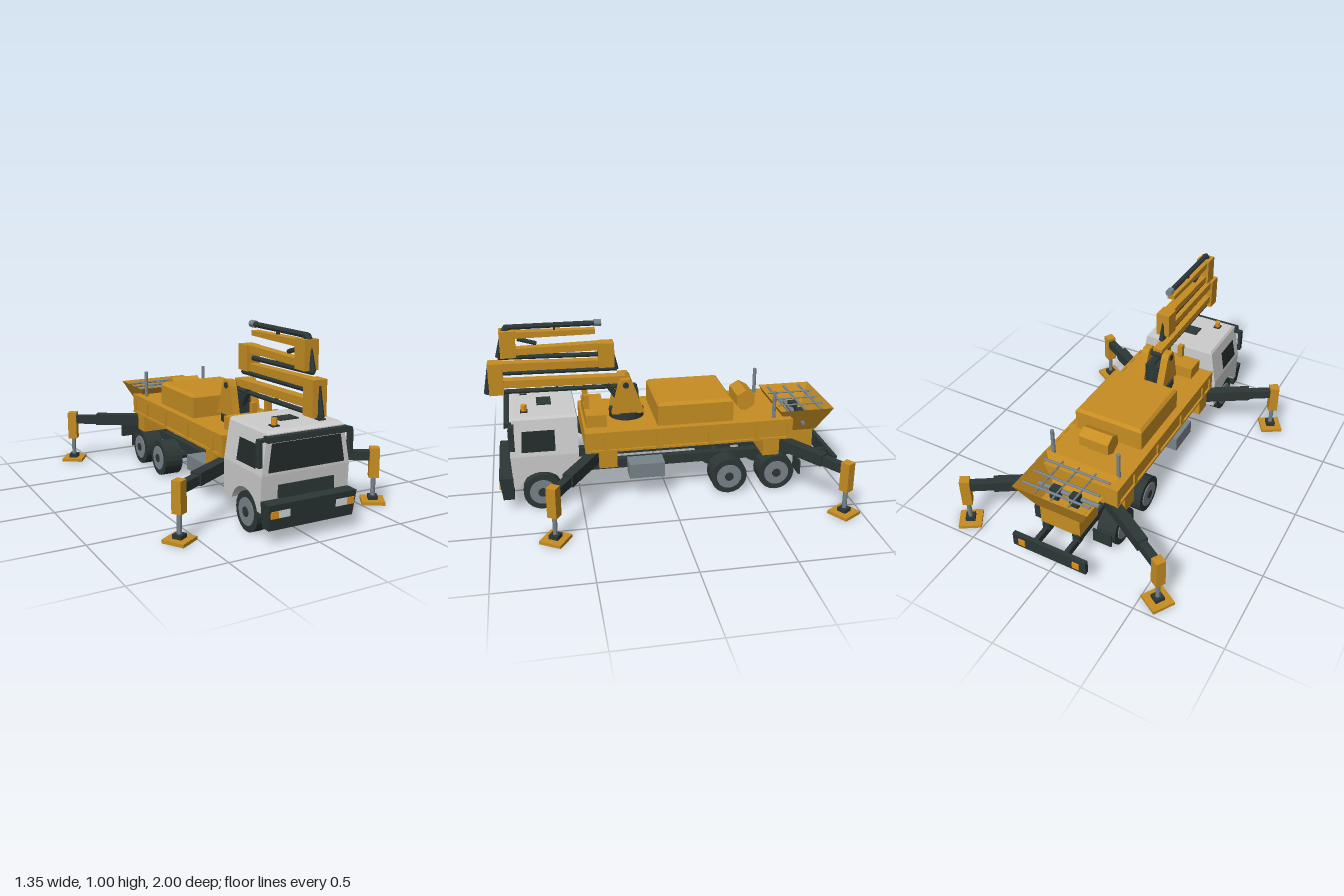
import * as THREE from 'three';

const mat = (name, color, side = THREE.FrontSide) => {
  const m = new THREE.MeshStandardMaterial({ color, flatShading: true, side });
  m.name = name;
  return m;
};

export function createModel() {
  const yellow = mat('machineYellow', 0xc68d22, THREE.DoubleSide);
  const white = mat('cabWhite', 0xcdcdcd);
  const dark = mat('darkSteel', 0x2c3736);
  const glass = mat('darkGlass', 0x222b2b, THREE.DoubleSide);
  const grey = mat('greySteel', 0x78848a);
  const lamp = mat('amberLamp', 0xe0921a);
  const headlight = mat('headlightWhite', 0xd4d8d8);

  const root = new THREE.Group();
  root.name = 'concretePumpTruck';
  const add = (name, geo, m, parent = root) => {
    const mesh = new THREE.Mesh(geo, m);
    mesh.name = name;
    parent.add(mesh);
    return mesh;
  };
  // box given by its low and high corners
  const box = (name, m, [x0, x1], [y0, y1], [z0, z1], parent = root) => {
    const g = new THREE.BoxGeometry(x1 - x0, y1 - y0, z1 - z0);
    g.translate((x0 + x1) / 2, (y0 + y1) / 2, (z0 + z1) / 2);
    return add(name, g, m, parent);
  };
  // box between two points, optionally thinner at the far end
  const bar = (name, m, p, q, w, h, end = 1) => {
    const a = new THREE.Vector3(...p), b = new THREE.Vector3(...q);
    const g = new THREE.BoxGeometry(w, h, a.distanceTo(b));
    const pos = g.attributes.position;
    for (let i = 0; i < pos.count; i++)
      if (pos.getZ(i) > 0) pos.setXY(i, pos.getX(i) * end, pos.getY(i) * end);
    const mesh = add(name, g, m);
    mesh.position.copy(a).add(b).multiplyScalar(0.5);
    mesh.lookAt(b);
    return mesh;
  };
  const rod = (name, m, p, q, r, sides = 8, rEnd = r) => {
    const a = new THREE.Vector3(...p), b = new THREE.Vector3(...q);
    const g = new THREE.CylinderGeometry(rEnd, r, a.distanceTo(b), sides).rotateX(Math.PI / 2);
    const mesh = add(name, g, m);
    mesh.position.copy(a).add(b).multiplyScalar(0.5);
    mesh.lookAt(b);
    return mesh;
  };
  // side profile of [z, y] points extruded across x
  const profile = (name, m, shape, x0, x1) => {
    const s = Array.isArray(shape) ? new THREE.Shape(shape.map(p => new THREE.Vector2(...p))) : shape;
    const g = new THREE.ExtrudeGeometry(s, { depth: x1 - x0, bevelEnabled: false, curveSegments: 8 });
    g.rotateY(-Math.PI / 2).translate(x1, 0, 0);
    return add(name, g, m);
  };
  const quad = (name, m, pts) => {
    const g = new THREE.BufferGeometry();
    g.setAttribute('position', new THREE.Float32BufferAttribute(pts.flat(), 3));
    g.setIndex([0, 1, 2, 0, 2, 3]);
    g.computeVertexNormals();
    return add(name, g, m);
  };
  // box whose top and bottom have their own half width and z range
  const frustum = (name, m, y0, y1, [bw, bz0, bz1], [tw, tz0, tz1]) => {
    const g = new THREE.BoxGeometry(2, 2, 2), pos = g.attributes.position;
    for (let i = 0; i < pos.count; i++) {
      const up = pos.getY(i) > 0, back = pos.getZ(i) < 0;
      pos.setXYZ(i, pos.getX(i) * (up ? tw : bw), up ? y1 : y0,
        up ? (back ? tz0 : tz1) : (back ? bz0 : bz1));
    }
    g.computeVertexNormals();
    return add(name, g, m);
  };

  // cab with front wheel arch
  const lower = new THREE.Shape();
  lower.moveTo(0.51, 0.147);
  lower.lineTo(0.592, 0.147);
  lower.absarc(0.715, 0.105, 0.13, Math.PI - 0.33, 0.33, true);
  lower.lineTo(0.868, 0.147);
  lower.lineTo(0.878, 0.33);
  lower.lineTo(0.51, 0.33);
  profile('cabLower', white, lower, -0.255, 0.255);
  frustum('cabUpper', white, 0.33, 0.53, [0.255, 0.51, 0.878], [0.222, 0.51, 0.87]);
  frustum('cabRoof', white, 0.53, 0.545, [0.222, 0.51, 0.87], [0.212, 0.515, 0.85]);
  quad('windscreen', glass, [[-0.222, 0.345, 0.882], [0.222, 0.345, 0.882], [0.2, 0.486, 0.876], [-0.2, 0.486, 0.876]]);
  box('grille', dark, [-0.162, 0.162], [0.212, 0.278], [0.87, 0.884]);
  box('sunVisor', dark, [-0.236, 0.236], [0.496, 0.525], [0.86, 0.9]);
  frustum('bumper', dark, 0.075, 0.208, [0.245, 0.87, 0.93], [0.256, 0.87, 0.946]);
  box('roofHatch', dark, [-0.055, 0.055], [0.54, 0.551], [0.64, 0.72]);

  for (const s of [-1, 1]) {
    const span = (a, b) => (s > 0 ? [a, b] : [-b, -a]);
    quad('sideWindow', glass, [[s * 0.255, 0.355, 0.635], [s * 0.255, 0.355, 0.818], [s * 0.236, 0.47, 0.81], [s * 0.236, 0.47, 0.635]]);
    box('mirror', dark, span(0.255, 0.274), [0.375, 0.5], [0.85, 0.882]);
    box('mirrorArm', dark, span(0.215, 0.272), [0.498, 0.512], [0.848, 0.878]);
    box('headlight', headlight, span(0.135, 0.2), [0.139, 0.175], [0.935, 0.946]);
    box('indicator', lamp, span(0.2, 0.242), [0.139, 0.175], [0.935, 0.947]);
    box('beaconBase', dark, span(0.115, 0.155), [0.54, 0.552], [0.77, 0.81]);
    rod('beacon', lamp, [s * 0.135, 0.55, 0.79], [s * 0.135, 0.585, 0.79], 0.016);

    // chassis
    box('chassisRail', dark, span(0.07, 0.115), [0.152, 0.205], [-0.87, 0.6]);
    box('bumperBracket', dark, span(0.08, 0.105), [0.125, 0.165], [-0.98, -0.82]);
    box('sideTank', grey, span(0.12, 0.23), [0.135, 0.22], [0.03, 0.23]);
    box('mudFlap', dark, span(0.13, 0.24), [0.08, 0.165], [-0.765, -0.755]);
    box('tailLamp', lamp, span(0.145, 0.185), [0.11, 0.148], [-1, -0.99]);

    // wheels
    for (const [z, inner] of [[0.715, 0.18], [-0.34, 0.13], [-0.62, 0.13]]) {
      rod('tyre', dark, [s * inner, 0.105, z], [s * 0.24, 0.105, z], 0.105, 20);
      rod('rim', grey, [s * 0.2, 0.105, z], [s * 0.245, 0.105, z], 0.072, 20);
      rod('hub', dark, [s * 0.2, 0.105, z], [s * 0.25, 0.105, z], 0.026, 10);
      if (s > 0) rod('axle', dark, [-0.2, 0.105, z], [0.2, 0.105, z], 0.025);
    }

    // deck side frame
    for (const [y0, y1] of [[0.318, 0.33], [0.412, 0.437]])
      box('deckSideRail', yellow, span(0.235, 0.25), [y0, y1], [-0.7, 0.475]);
    for (const z of [0.46, 0.355, 0.06, -0.23, -0.5, -0.685])
      box('deckRib', yellow, span(0.235, 0.248), [0.325, 0.42], [z - 0.015, z + 0.015]);
    rod('deckPost', grey, [s * 0.2, 0.43, -0.6], [s * 0.2, 0.59, -0.6], 0.011);

    // turret cheeks
    profile('turretCheek', yellow, [[0.12, 0.47], [0.305, 0.47], [0.265, 0.64], [0.25, 0.67], [0.2, 0.67], [0.185, 0.65]],
      ...span(0.042, 0.085));
    box('boomRest', yellow, span(0.03, 0.06), [0.5, 0.585], [0.43, 0.46]);

    // outriggers
    for (const [z, dir] of [[0.67, 1], [-0.9, -1]]) {
      const g = new THREE.Group();
      g.name = dir > 0 ? 'frontOutrigger' : 'rearOutrigger';
      g.position.set(s * 0.588, 0, z);
      g.rotation.y = -Math.atan2(dir * 0.53, s * 0.85);
      root.add(g);
      const sq = r => [-r, r];
      box('footPlate', yellow, sq(0.063), [0, 0.018], sq(0.063), g);
      box('footSocket', dark, sq(0.026), [0.018, 0.04], sq(0.026), g);
      const leg = add('jackRod', new THREE.CylinderGeometry(0.013, 0.013, 0.13, 8), grey, g);
      leg.position.y = 0.095;
      box('jackColumn', yellow, sq(0.027), [0.145, 0.312], sq(0.027), g);
      box('outerArm', dark, [-0.51, -0.155], [0.238, 0.304], [-0.03, 0.03], g);
      box('innerArm', dark, [-0.2, -0.02], [0.242, 0.293], [-0.022, 0.022], g);
    }
  }

  // deck
  box('deck', yellow, [-0.238, 0.238], [0.32, 0.435], [-0.698, 0.473]);
  box('frontOutriggerBox', yellow, [-0.25, 0.25], [0.225, 0.32], [0.3, 0.4]);
  box('rearOutriggerBox', yellow, [-0.25, 0.25], [0.225, 0.32], [-0.625, -0.53]);
  for (const z of [0.35, -0.58]) box('deckMount', dark, [-0.1, 0.1], [0.2, 0.23], [z - 0.03, z + 0.03]);
  box('tankCoverBase', yellow, [-0.205, 0.205], [0.43, 0.55], [-0.362, 0.067]);
  frustum('tankCoverTop', yellow, 0.55, 0.567, [0.205, -0.362, 0.067], [0.19, -0.347, 0.052]);
  const drum = add('hexDrum', new THREE.CylinderGeometry(0.06, 0.06, 0.18, 6), yellow);
  drum.rotation.z = Math.PI / 2;
  drum.rotation.x = Math.PI / 2;
  drum.rotation.order = 'ZYX';
  drum.geometry.rotateY(Math.PI / 2);
  drum.rotation.set(0, 0, Math.PI / 2);
  drum.position.set(0, 0.505, -0.466);
  box('drumStand', yellow, [-0.06, 0.06], [0.43, 0.47], [-0.485, -0.447]);
  box('frontLocker', yellow, [-0.165, 0.165], [0.43, 0.505], [0.345, 0.46]);

  // hopper, open at the top
  const hopper = frustum('hopper', yellow, 0.318, 0.473, [0.14, -0.877, -0.715], [0.222, -0.95, -0.635]);
  const idx = Array.from(hopper.geometry.index.array);
  idx.splice(12, 6);
  hopper.geometry.setIndex(idx);
  hopper.geometry.clearGroups();
  for (const z of [-0.885, -0.79, -0.69]) rod('grateBar', grey, [-0.2, 0.462, z], [0.2, 0.462, z], 0.007, 6);
  for (const x of [-0.1, 0, 0.1]) rod('grateBar', grey, [x, 0.462, -0.93], [x, 0.462, -0.66], 0.005, 6);
  rod('agitatorShaft', grey, [-0.19, 0.38, -0.785], [0.19, 0.38, -0.785], 0.012);
  for (const x of [-0.06, 0.06]) box('agitatorPaddle', dark, [x - 0.025, x + 0.025], [0.345, 0.415], [-0.825, -0.78]);
  box('pumpBox', yellow, [-0.12, 0.12], [0.2, 0.32], [-0.87, -0.69]);
  box('rearBumper', dark, [-0.222, 0.222], [0.09, 0.17], [-0.993, -0.968]);

  // turret
  rod('slewRing', dark, [0, 0.43, 0.215], [0, 0.475, 0.215], 0.1, 16);
  box('turretCore', dark, [-0.042, 0.042], [0.47, 0.6], [0.15, 0.27]);
  rod('turretPin', dark, [-0.09, 0.64, 0.225], [0.09, 0.64, 0.225], 0.018);
  rod('riserPipe', dark, [0, 0.45, 0.145], [0, 0.61, 0.17], 0.018);

  // folded boom: [from z, y], [to z, y], depth, far-end scale
  const beams = [
    [[0.22, 0.655], [0.93, 0.668], 0.042, 1], [[0.93, 0.765], [0.32, 0.755], 0.046, 0.85],
    [[0.32, 0.855], [0.86, 0.848], 0.04, 0.9], [[0.86, 0.942], [0.38, 0.94], 0.036, 0.75]];
  beams.forEach(([a, b, h, e], i) =>
    bar('boomSection' + (i + 1), yellow, [0, a[1], a[0]], [0, b[1], b[0]], 0.058, h, e));
  const knuckles = [[0.61, 0.79, 0.89, 0.97], [0.735, 0.873, 0.28, 0.367], [0.82, 0.968, 0.812, 0.896]];
  for (const [y0, y1, z0, z1] of knuckles) box('boomKnuckle', yellow, [-0.04, 0.04], [y0, y1], [z0, z1]);

  // delivery pipe along the boom
  const pipes = [
    [0.16, 0.608, 0.985, 0.617, 0.014], [0.92, 0.725, 0.265, 0.715, 0.014],
    [0.29, 0.802, 0.91, 0.815, 0.014], [0.86, 0.983, 0.37, 0.983, 0.015]];
  for (const [z0, y0, z1, y1, r] of pipes) rod('deliveryPipe', dark, [0, y0, z0], [0, y1, z1], r);
  const elbows = [[0.984, 0.612, 0.968, 0.76], [0.908, 0.818, 0.89, 0.93], [0.27, 0.712, 0.285, 0.82]];
  for (const [z0, y0, z1, y1] of elbows) rod('pipeElbow', dark, [0, y0, z0], [0, y1, z1], 0.016, 6, 0.006);
  rod('pipeTopBend', dark, [0, 0.95, 0.875], [0, 0.985, 0.85], 0.02, 6);
  rod('pipeOutlet', grey, [0, 0.984, 0.385], [0, 0.984, 0.345], 0.02);
  for (const [z, y0, y1] of [[0.6, 0.61, 0.65], [0.6, 0.72, 0.75], [0.6, 0.81, 0.84], [0.6, 0.95, 0.98]])
    box('pipeClamp', dark, [-0.008, 0.008], [y0, y1], [z - 0.006, z + 0.006]);
  rod('boomRam', dark, [0, 0.915, 0.8], [0, 0.885, 0.7], 0.012);
  rod('mainRam', dark, [0, 0.52, 0.25], [0, 0.64, 0.33], 0.016);

  return root;
}
